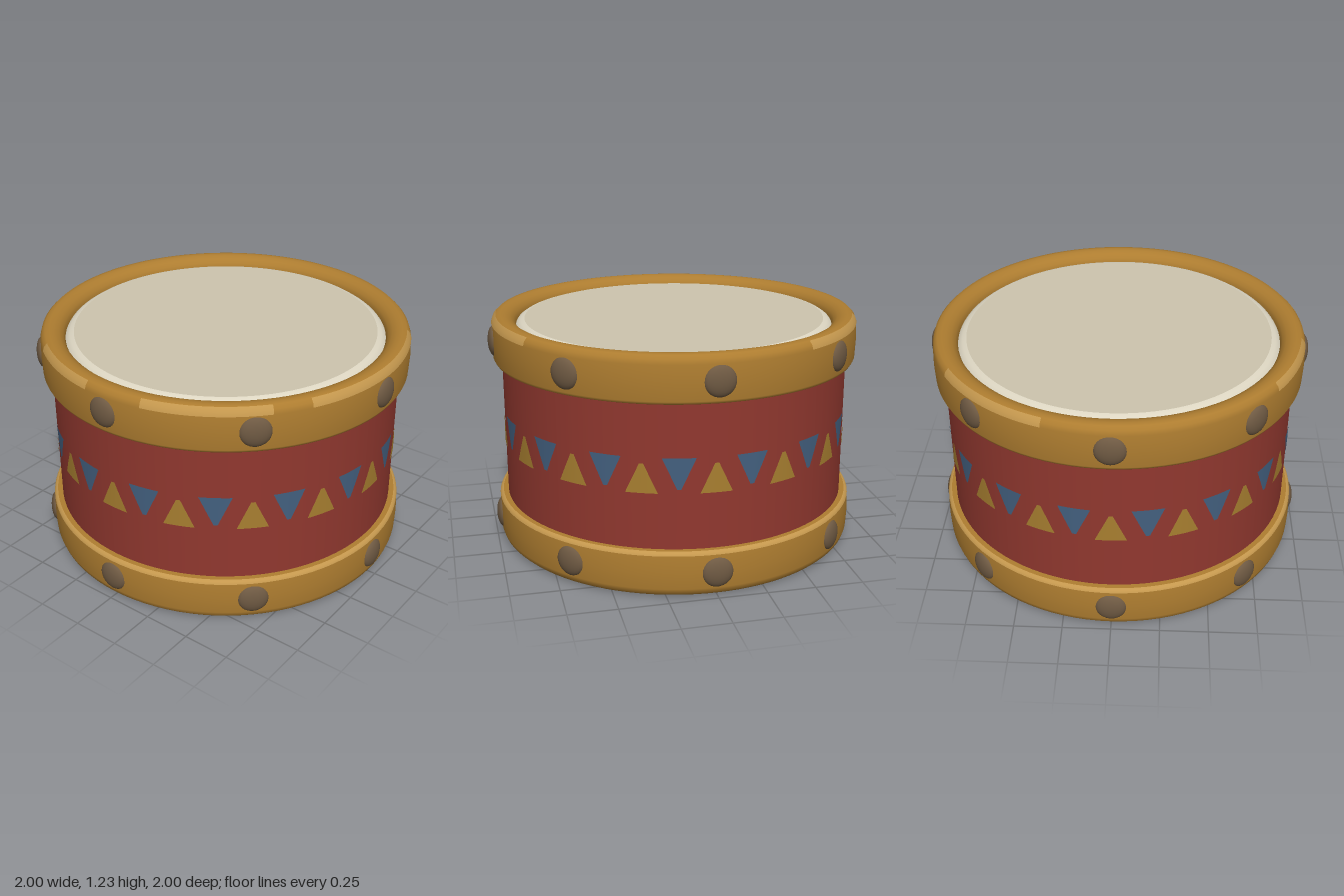
import * as THREE from 'three';

const mat = (name, color) => {
  const m = new THREE.MeshStandardMaterial({ color });
  m.name = name;
  return m;
};

const HEIGHT = 1.23, BODY_R = 0.927, SEGMENTS = 96;

export function createModel() {
  const red = mat('shellRed', 0x91382f);
  const gold = mat('hoopGold', 0xae7d30);
  const lightGold = mat('edgeGold', 0xc5984e);
  const yellow = mat('triangleYellow', 0xa87f30);
  const blue = mat('triangleBlue', 0x43607f);
  const cream = mat('skinCream', 0xcdc5ae);
  const lightCream = mat('skinEdgeCream', 0xddd6c2);
  const brown = mat('studBrown', 0x6f5a43);

  const drum = new THREE.Group();
  drum.name = 'drum';

  const add = (parent, name, geometry, material) => {
    const mesh = new THREE.Mesh(geometry, material);
    mesh.name = name;
    parent.add(mesh);
    return mesh;
  };
  // Profile of [radius, height] pairs, outside going up, then inwards
  const lathe = (points, start = 0, length = Math.PI * 2) => new THREE.LatheGeometry(
    points.map(([r, y]) => new THREE.Vector2(r, y)), SEGMENTS, start, length);

  // Shell
  add(drum, 'shell', new THREE.CylinderGeometry(BODY_R, BODY_R, 0.9, SEGMENTS, 1, true), red)
    .position.y = HEIGHT / 2;

  // One end of the drum: hoop, skin and studs, measured from mid height
  const T = HEIGHT / 2;
  const makeEnd = (name) => {
    const end = new THREE.Group();
    end.name = name;
    add(end, 'hoop', lathe([
      [0.9, T - 0.24], [0.955, T - 0.24], [0.966, T - 0.236], [0.973, T - 0.222],
      [0.977, T - 0.13], [0.973, T - 0.045], [0.965, T - 0.02], [0.948, T - 0.004],
      [0.925, T], [0.9, T - 0.003], [0.875, T - 0.014], [0.855, T - 0.032],
      [0.845, T - 0.055], [0.843, T - 0.08],
    ]), gold);
    add(end, 'skin', lathe([[0.8, T - 0.034], [0, T - 0.034]]), cream);
    add(end, 'skinEdge', lathe([[0.85, T - 0.07], [0.838, T - 0.052], [0.82, T - 0.04], [0.8, T - 0.034]]), lightCream);
    for (let i = 0; i < 8; i++) {
      const a = i * Math.PI / 4;
      const stud = add(end, 'stud', new THREE.SphereGeometry(0.08, 20, 14), brown);
      stud.scale.z = 0.4;
      stud.position.set(0.967 * Math.sin(a), T - 0.128, 0.967 * Math.cos(a));
      stud.rotation.y = a;
    }
    end.position.y = T;
    drum.add(end);
    return end;
  };
  makeEnd('topEnd');
  makeEnd('bottomEnd').rotation.x = Math.PI;

  // Worn light edges on the upper rims of the hoops
  for (const [start, length] of [[-0.5, 1.0], [-1.35, 0.65], [2.1, 0.7], [4.1, 0.5]]) {
    add(drum, 'topWornEdge', lathe([[0.9745, 1.187], [0.967, 1.209], [0.95, 1.2275]], start, length), lightGold);
  }
  add(drum, 'bottomWornEdge', lathe([[0.9735, 0.223], [0.9675, 0.2365], [0.955, 0.2415]]), lightGold);

  // Painted triangles wrapped around the shell
  const triangle = (angle, width, yBase, yTip) => {
    const g = new THREE.PlaneGeometry(1, 1, 6, 2);
    const p = g.attributes.position;
    const low = Math.min(yBase, yTip), high = Math.max(yBase, yTip);
    for (let i = 0; i < p.count; i++) {
      const y = low + (p.getY(i) + 0.5) * (high - low);
      const taper = THREE.MathUtils.lerp(width, 0.02, (y - yBase) / (yTip - yBase));
      const a = angle + p.getX(i) * taper / BODY_R;
      const r = BODY_R + 0.004;
      p.setXYZ(i, r * Math.sin(a), y, r * Math.cos(a));
    }
    g.computeVertexNormals();
    return g;
  };
  const step = Math.PI / 8;
  for (let i = 0; i < 16; i++) {
    add(drum, 'yellowTriangle', triangle(i * step, 0.16, 0.533, 0.685), yellow);
    add(drum, 'blueTriangle', triangle((i + 0.5) * step, 0.165, 0.715, 0.555), blue);
  }

  return drum;
}
